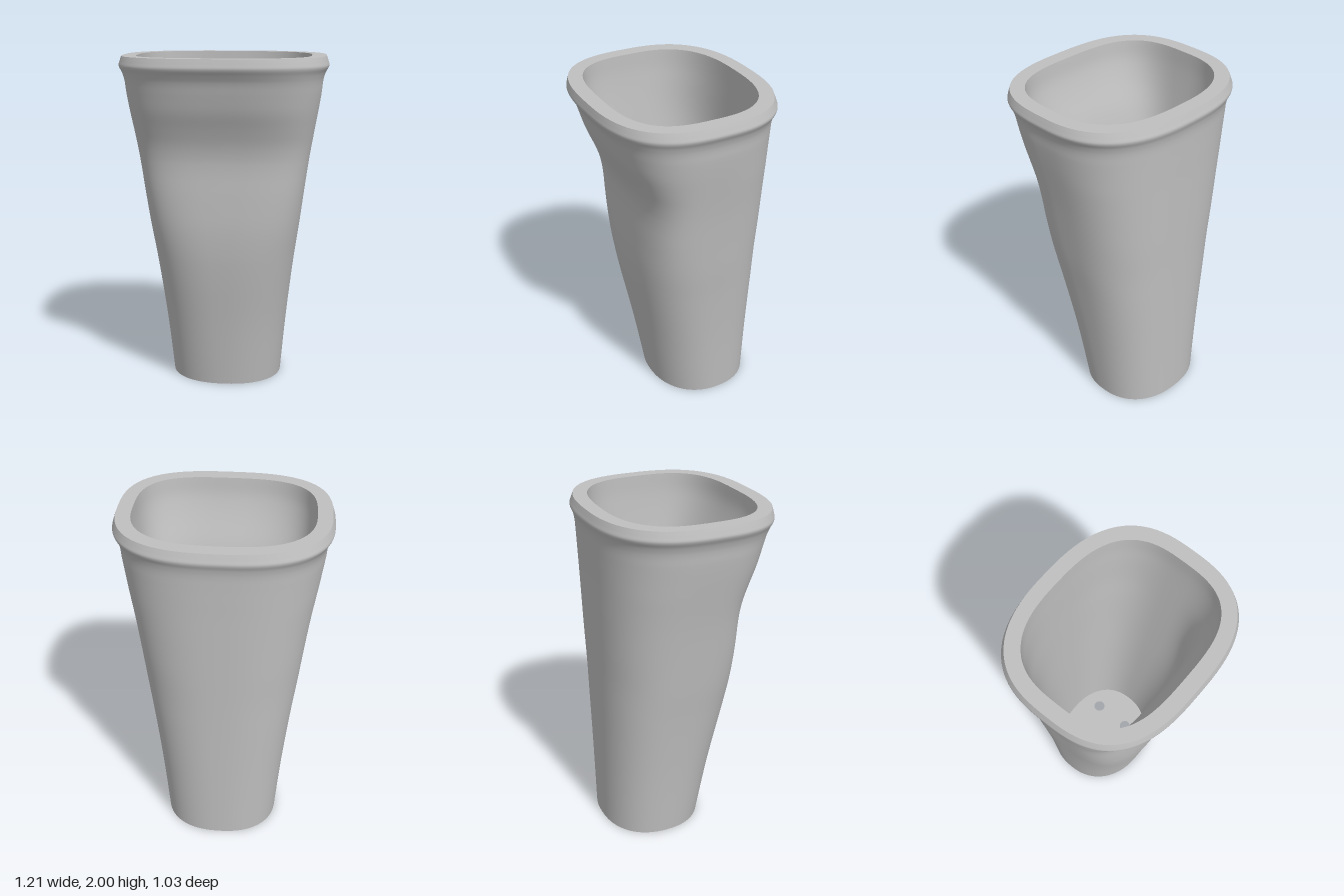
import * as THREE from 'three';

const SEGMENTS = 96;
const FLOOR = 0.06;

// Profile rows: y, half width, front z, back z, centre z, front roundness, back roundness
const OUTER = [
  [0, 0.34, 0.145, -0.465, -0.16, 2.2, 2.3],
  [0.4, 0.376, 0.212, -0.468, -0.13, 2.4, 2.4],
  [0.8, 0.422, 0.282, -0.472, -0.1, 2.8, 2.5],
  [1.0, 0.45, 0.303, -0.475, -0.08, 3.1, 2.5],
  [1.2, 0.475, 0.308, -0.479, -0.06, 3.4, 2.6],
  [1.4, 0.502, 0.312, -0.483, -0.05, 3.5, 2.6],
  [1.5, 0.518, 0.332, -0.485, -0.04, 3.4, 2.6],
  [1.6, 0.535, 0.37, -0.487, -0.03, 3.3, 2.6],
  [1.7, 0.552, 0.415, -0.49, -0.01, 3.1, 2.6],
  [1.8, 0.567, 0.449, -0.493, 0, 3, 2.6],
  [1.87, 0.575, 0.472, -0.497, 0, 3, 2.6],
  [1.91, 0.588, 0.495, -0.505, 0, 2.9, 2.6],
  [1.945, 0.606, 0.516, -0.517, 0, 2.8, 2.6],
  [1.97, 0.6, 0.513, -0.509, 0, 2.8, 2.6],
  [2, 0.59, 0.507, -0.498, 0, 2.8, 2.6],
];
const INNER = [
  [FLOOR, 0.3, 0.11, -0.415, -0.16, 2.2, 2.3],
  [0.4, 0.33, 0.165, -0.416, -0.13, 2.4, 2.4],
  [0.8, 0.372, 0.228, -0.416, -0.1, 2.8, 2.5],
  [1.1, 0.408, 0.248, -0.417, -0.07, 3.2, 2.6],
  [1.4, 0.445, 0.252, -0.417, -0.05, 3.5, 2.6],
  [1.6, 0.47, 0.3, -0.417, -0.03, 3.3, 2.7],
  [1.8, 0.494, 0.378, -0.416, 0, 3.1, 2.7],
  [1.9, 0.503, 0.408, -0.416, 0, 3.1, 2.7],
  [2, 0.506, 0.42, -0.415, 0, 3.1, 2.7],
];

// Rounded-box outline of one row, different at the front and the back
function ring([y, w, front, back, mid, nFront, nBack]) {
  return Array.from({ length: SEGMENTS }, (_, i) => {
    const a = (i / SEGMENTS) * Math.PI * 2, c = Math.cos(a), s = Math.sin(a);
    const e = 2 / (s >= 0 ? nFront : nBack);
    const reach = s >= 0 ? front - mid : back - mid;
    return [w * Math.sign(c) * Math.abs(c) ** e, y, mid + reach * Math.abs(s) ** e];
  });
}

// Smoothly resample the profile rows by height
function refine(rows, steps) {
  const curve = new THREE.CubicInterpolant(rows.map(r => r[0]), rows.flat(), 7);
  const out = [];
  for (let k = 0; k < rows.length - 1; k++) {
    for (let s = 0; s < steps; s++) {
      const y = THREE.MathUtils.lerp(rows[k][0], rows[k + 1][0], s / steps);
      out.push(Array.from(curve.evaluate(y)));
    }
  }
  out.push(rows[rows.length - 1]);
  return out;
}

// Closed skin through successive rings
function loft(rows) {
  const index = [];
  for (let j = 0; j < rows.length - 1; j++) {
    for (let i = 0; i < SEGMENTS; i++) {
      const n = (i + 1) % SEGMENTS, a = j * SEGMENTS, b = a + SEGMENTS;
      index.push(a + i, b + i, a + n, a + n, b + i, b + n);
    }
  }
  const geo = new THREE.BufferGeometry();
  geo.setAttribute('position', new THREE.Float32BufferAttribute(rows.map(ring).flat(2), 3));
  geo.setIndex(index);
  geo.computeVertexNormals();
  return geo;
}

// Base plate with four round drain holes
function basePlate() {
  const shape = new THREE.Shape(ring(OUTER[0]).map(([x, , z]) => new THREE.Vector2(x, -z)));
  for (const x of [-0.117, 0.117]) {
    for (const z of [-0.285, -0.05]) {
      shape.holes.push(new THREE.Path().absarc(x, -z, 0.036, 0, Math.PI * 2, true));
    }
  }
  const geo = new THREE.ExtrudeGeometry(shape, { depth: FLOOR, bevelEnabled: false, curveSegments: 24 });
  return geo.rotateX(-Math.PI / 2);
}

export function createModel() {
  const grey = new THREE.MeshStandardMaterial({ color: 0xbfbfbf });
  grey.name = 'grey';
  const group = new THREE.Group();
  group.name = 'taperedHolder';
  const add = (name, geo) => {
    const mesh = new THREE.Mesh(geo, grey);
    mesh.name = name;
    group.add(mesh);
  };
  add('outerWall', loft(refine(OUTER, 4)));
  add('rim', loft([OUTER[OUTER.length - 1], INNER[INNER.length - 1]]));
  add('innerWall', loft(refine(INNER, 5).reverse()));
  add('base', basePlate());
  return group;
}
